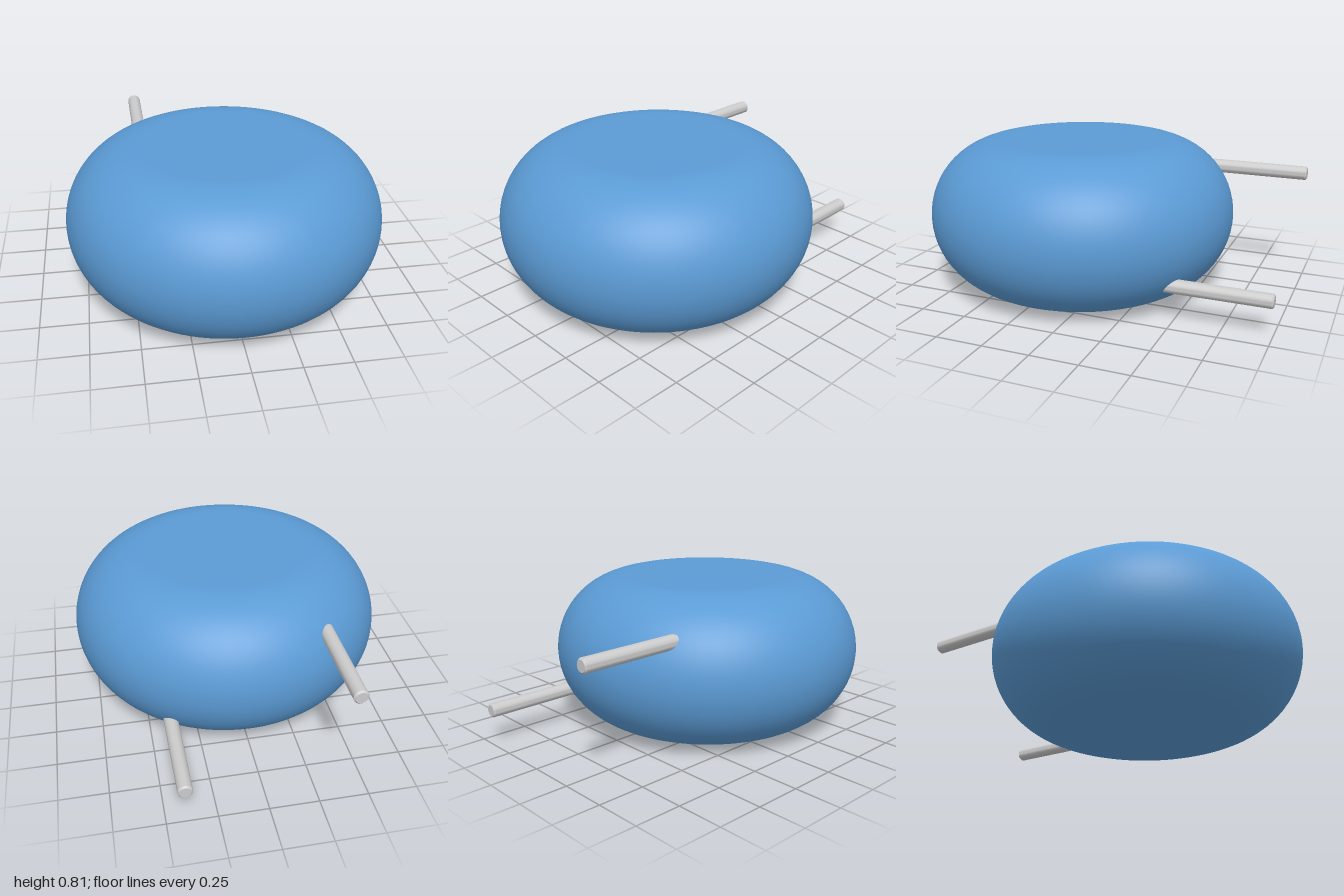
import * as THREE from 'three';
import { toCreasedNormals } from 'three/addons/utils/BufferGeometryUtils.js';

const V = (x, y) => new THREE.Vector2(x, y);

const HEIGHT = 0.81;
const EDGE = HEIGHT / 2;   // radius of the fully rounded rim
const RADIUS = 0.835;
const BODY_Z = 0.165;

// Round cushion-like body: flat discs joined by a half-circle rim
function makeBody() {
  const profile = [V(0, 0)];
  const steps = 32;
  for (let i = 0; i <= steps; i++) {
    const a = -Math.PI / 2 + (Math.PI * i) / steps;
    profile.push(V(RADIUS - EDGE + EDGE * Math.cos(a), EDGE + EDGE * Math.sin(a)));
  }
  profile.push(V(0, HEIGHT));
  const material = new THREE.MeshStandardMaterial({ color: 0x5b9bd5 });
  const body = new THREE.Mesh(new THREE.LatheGeometry(profile, 96), material);
  body.name = 'body';
  body.position.z = BODY_Z;
  return body;
}

// Straight pin with lightly chamfered tip, pointing backwards
function makePinGeometry() {
  const r = 0.037, length = 0.62, bevel = 0.008;
  const profile = [V(0, 0), V(r, 0), V(r, length - bevel), V(r - bevel, length), V(0, length)];
  const geometry = new THREE.LatheGeometry(profile, 32).rotateX(-Math.PI / 2);
  return toCreasedNormals(geometry, Math.PI / 6);
}

export function createModel() {
  const model = new THREE.Group();
  model.name = 'roundBodyWithPins';
  model.add(makeBody());

  // Two rear pins, placed diagonally: upper right and lower left
  const geometry = makePinGeometry();
  const material = new THREE.MeshStandardMaterial({ color: 0xcccccc });
  for (const [name, side] of [['upperRightPin', -1], ['lowerLeftPin', 1]]) {
    const pin = new THREE.Mesh(geometry, material);
    pin.name = name;
    pin.position.set(side * 0.403, EDGE - side * 0.217, -0.38);
    model.add(pin);
  }
  return model;
}
